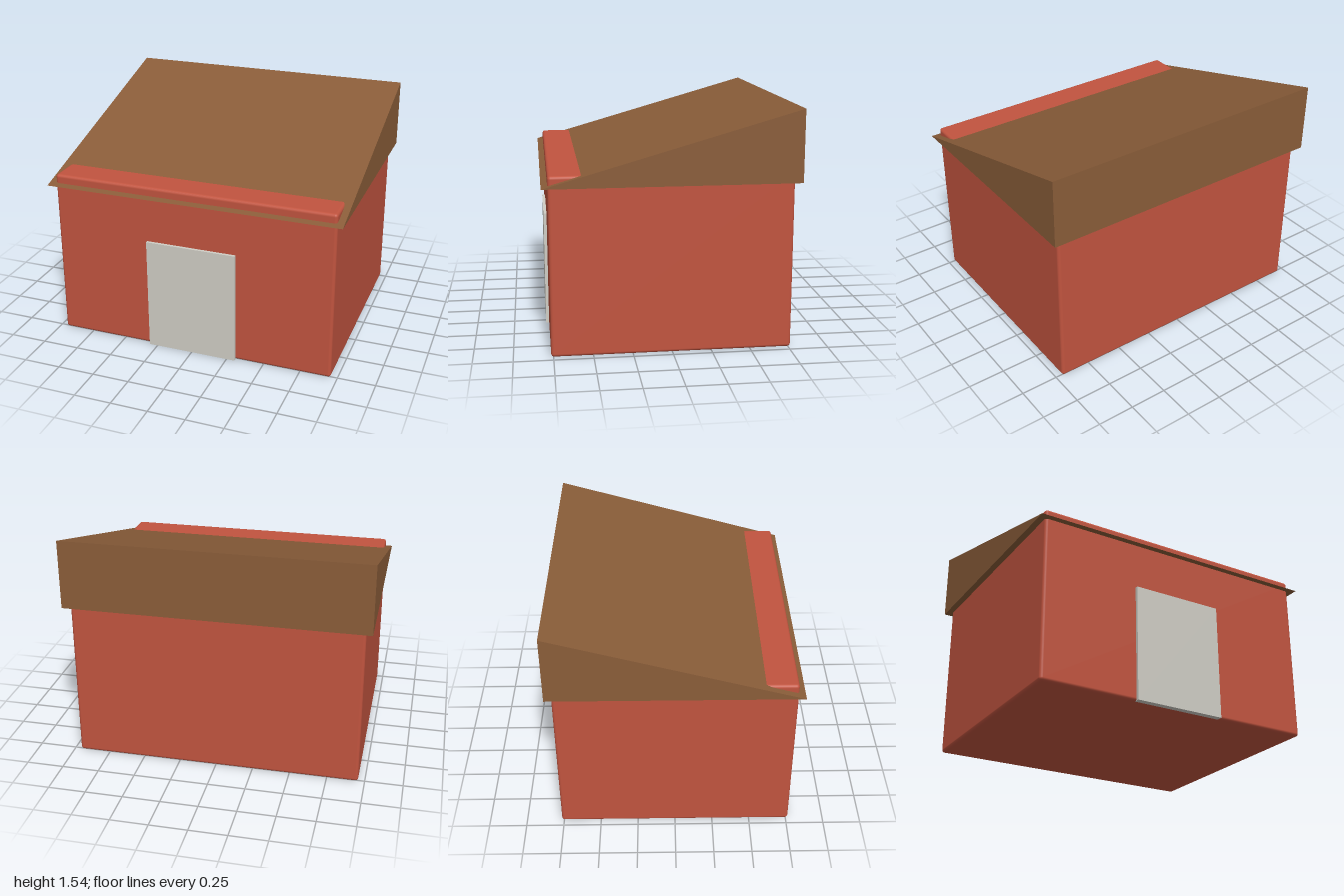
import * as THREE from 'three';
import { RoundedBoxGeometry } from 'three/addons/geometries/RoundedBoxGeometry.js';

function material(name, color) {
  const m = new THREE.MeshStandardMaterial({ color });
  m.name = name;
  return m;
}

export function createModel() {
  const group = new THREE.Group();
  group.name = 'shed';

  const add = (name, geometry, mat, x, y, z) => {
    const mesh = new THREE.Mesh(geometry, mat);
    mesh.name = name;
    mesh.position.set(x, y, z);
    group.add(mesh);
  };

  // Walls: one softly rounded block whose top front edge pokes through the roof
  add('walls', new RoundedBoxGeometry(1.914, 1.15, 1.53, 3, 0.02),
    material('brick red', 0xc1543f), 0, 0.575, 0);

  // Roof: solid wedge, low at the front and high at the back, profile in (z, y)
  const profile = new THREE.Shape([
    new THREE.Vector2(0.805, 1.08),
    new THREE.Vector2(-0.805, 1.54),
    new THREE.Vector2(-0.805, 1.08),
  ]);
  const roof = new THREE.ExtrudeGeometry(profile, { depth: 2, bevelEnabled: false });
  roof.translate(0, 0, -1).rotateY(-Math.PI / 2);
  add('roof', roof, material('roof brown', 0x8a5d39), 0, 0, 0);

  // Door: slab standing slightly proud of the front wall
  add('door', new THREE.BoxGeometry(0.614, 0.77, 0.04),
    material('door grey', 0xcfcdc5), 0, 0.385, 0.765);

  return group;
}
